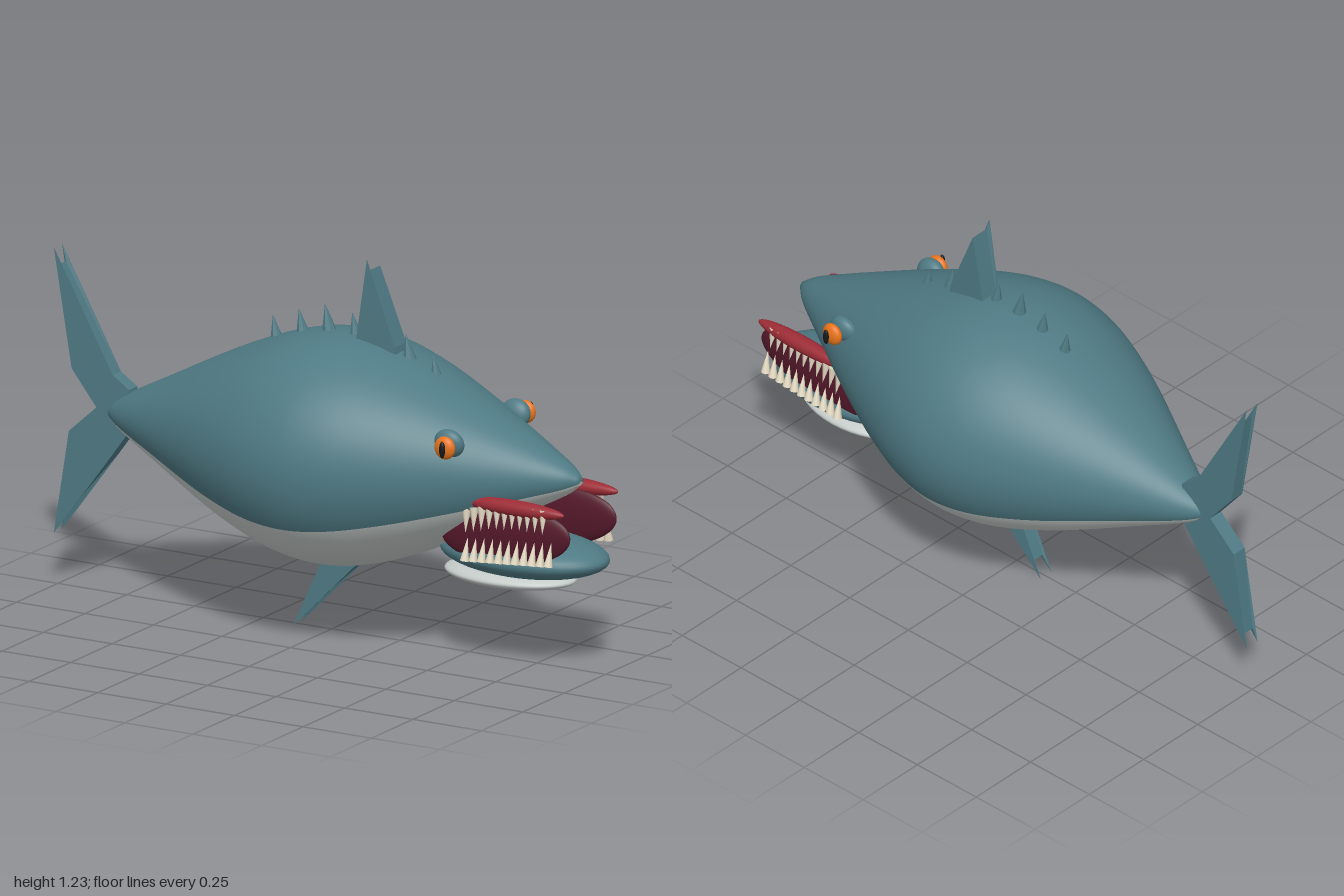
import * as THREE from 'three';

const mat = (color, extra = {}) => new THREE.MeshStandardMaterial({ color, ...extra });
const TEAL = mat(0x4f7a84), FIN = mat(0x4f7a84, { flatShading: true, side: THREE.DoubleSide });
const BELLY = mat(0xc4cbc8), RED = mat(0x9c2c36), MAROON = mat(0x54182a);
const ORANGE = mat(0xe8741c), BLACK = mat(0x15171a), IVORY = mat(0xe6dcc4);

function add(parent, name, geometry, material) {
  const mesh = new THREE.Mesh(geometry, material);
  mesh.name = name;
  parent.add(mesh);
  return mesh;
}

// Sphere squashed to the given radii
function ellipsoid(parent, name, pos, radii, material, tilt = 0) {
  const g = new THREE.SphereGeometry(1, 40, 24).scale(...radii);
  const mesh = add(parent, name, g, material);
  mesh.position.set(...pos);
  mesh.rotation.z = tilt;
  return mesh;
}

// Cone standing on a base point, its tip at another point
function spike(parent, name, base, tip, radius, sides, material) {
  const a = new THREE.Vector3(...base), b = new THREE.Vector3(...tip);
  const dir = b.clone().sub(a), len = dir.length();
  const g = new THREE.ConeGeometry(radius, len, sides).translate(0, len / 2, 0);
  const mesh = add(parent, name, g, material);
  mesh.position.copy(a);
  mesh.quaternion.setFromUnitVectors(new THREE.Vector3(0, 1, 0), dir.normalize());
  return mesh;
}

// Thick fin whose tip is notched between its two faces;
// sides tells which faces (z sign) keep the long tip
function fin(parent, name, outline, tip, innerTip, half, sides = [1, -1]) {
  const shape = new THREE.Shape(outline.map(p => new THREE.Vector2(...p)));
  const g = new THREE.ExtrudeGeometry(shape, { depth: 2 * half, steps: 3, bevelEnabled: false });
  g.translate(0, 0, -half);
  const p = g.attributes.position;
  for (let i = 0; i < p.count; i++) {
    let z = p.getZ(i);
    const middle = Math.abs(z) < half * 0.9;
    if (middle) p.setZ(i, Math.sign(z) * half * 0.75);
    const atTip = Math.hypot(p.getX(i) - tip[0], p.getY(i) - tip[1]) < 1e-4;
    if (atTip && (middle || !sides.includes(Math.sign(z)))) p.setXY(i, ...innerTip);
  }
  g.computeVertexNormals();
  return add(parent, name, g, FIN);
}

export function createModel() {
  const model = new THREE.Group();
  model.name = 'fish';

  // Body: one profile turned about the long axis, split into back and belly
  const profile = new THREE.CatmullRomCurve3([
    [0.012, -0.82], [0.06, -0.76], [0.165, -0.58], [0.325, -0.29], [0.40, -0.1], [0.42, 0.045],
    [0.40, 0.18], [0.345, 0.33], [0.262, 0.5], [0.185, 0.64], [0.105, 0.78], [0.05, 0.87], [0.014, 0.91],
  ].map(([r, x]) => new THREE.Vector3(r, x, 0))).getPoints(60).map(p => new THREE.Vector2(p.x, p.y));
  profile.unshift(new THREE.Vector2(0, -0.82));
  profile.push(new THREE.Vector2(0, 0.91));
  const body = new THREE.Group();
  body.name = 'body';
  body.position.y = 0.607;
  body.rotation.z = 0.013;
  model.add(body);
  const part = (name, start, length, material) => add(body, name,
    new THREE.LatheGeometry(profile, 48, start, length).rotateZ(-Math.PI / 2).scale(1, 0.888, 1), material);
  part('back', Math.PI * 5 / 6, Math.PI * 4 / 3, TEAL);
  part('belly', Math.PI / 6, Math.PI * 2 / 3, BELLY);

  // Fins
  fin(model, 'dorsalFin', [[0.1, 0.9], [0.26, 0.9], [0.25, 0.965], [0.15, 1.237]],
    [0.15, 1.237], [0.155, 1.2], 0.036, [1]);
  fin(model, 'upperTailLobe', [[-0.84, 0.6], [-0.72, 0.6], [-0.725, 0.68], [-0.785, 0.72], [-1, 1.105], [-0.935, 0.72]],
    [-1, 1.105], [-0.982, 1.05], 0.025);
  fin(model, 'lowerTailLobe', [[-0.84, 0.61], [-0.945, 0.515], [-1, 0.175], [-0.79, 0.455], [-0.735, 0.53], [-0.74, 0.61]],
    [-1, 0.175], [-0.985, 0.225], 0.025);
  fin(model, 'bellyFin', [[-0.125, 0.005], [0.11, 0.24], [0.1, 0.3], [0, 0.3], [-0.02, 0.235]],
    [-0.125, 0.005], [-0.09, 0.06], 0.025);

  // Row of spines along the back
  for (const [x, y] of [[-0.215, 0.995], [-0.12, 1.03], [-0.025, 1.06], [0.075, 1.045], [0.27, 1.005], [0.37, 0.95]])
    spike(model, 'backSpine', [x + 0.018, y - 0.1, 0], [x, y, 0], 0.027, 8, FIN);

  // Lower jaw with its pale underside
  ellipsoid(model, 'lowerJaw', [0.705, 0.36, 0], [0.293, 0.07, 0.175], TEAL);
  ellipsoid(model, 'jawUnderside', [0.655, 0.285, 0], [0.228, 0.034, 0.143], BELLY);

  for (const s of [1, -1]) {
    const side = new THREE.Group();
    side.name = s > 0 ? 'leftSide' : 'rightSide';
    model.add(side);

    // Eye
    ellipsoid(side, 'eyeSocket', [0.55, 0.738, s * 0.2], [0.052, 0.047, 0.03], TEAL).rotation.x = s * 0.2;
    ellipsoid(side, 'iris', [0.56, 0.735, s * 0.243], [0.036, 0.037, 0.02], ORANGE);
    ellipsoid(side, 'pupil', [0.565, 0.735, s * 0.268], [0.01, 0.027, 0.008], BLACK);

    // Mouth and lip
    ellipsoid(side, 'mouth', [0.72, 0.45, s * 0.14], [0.237, 0.097, 0.027], MAROON, 0.1);
    ellipsoid(side, 'upperLip', [0.765, 0.55, s * 0.163], [0.182, 0.026, 0.028], RED);

    // Teeth
    for (let i = 0; i < 11; i++) {
      const t = i / 10;
      const ux = 0.595 + 0.28 * t, uy = 0.51 + 0.085 * t - 0.05 * t * t;
      spike(side, 'upperTooth', [ux, uy + 0.015, s * 0.17], [ux + 0.005, uy - 0.06, s * 0.185], 0.015, 8, IVORY);
      const lx = 0.595 + 0.305 * t, ly = 0.358 + 0.025 * t;
      spike(side, 'lowerTooth', [lx, ly, s * 0.183], [lx + 0.003, ly + 0.075, s * 0.168], 0.015, 8, IVORY);
    }
  }
  return model;
}
